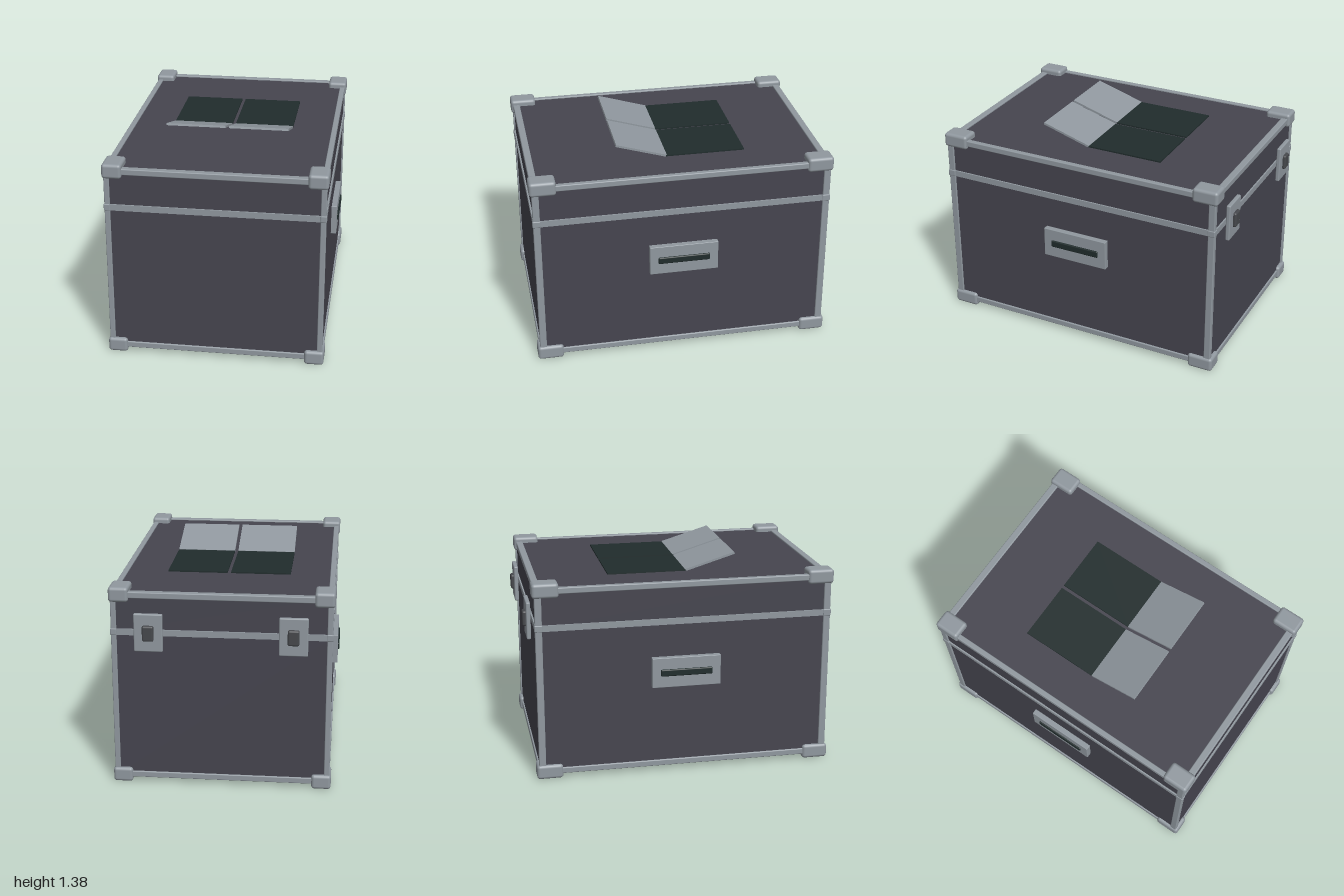
import * as THREE from 'three';
import { RoundedBoxGeometry } from 'three/addons/geometries/RoundedBoxGeometry.js';

const material = (name, color) => {
  const m = new THREE.MeshStandardMaterial({ color });
  m.name = name;
  return m;
};

export function createModel() {
  const shell = material('charcoal shell', 0x46454f);
  const metal = material('grey metal', 0x90989f);
  const dark = material('dark green black', 0x202c2c);
  const button = material('latch grey', 0x46484c);

  const model = new THREE.Group();
  model.name = 'flightCase';

  // Box with optional rounded edges, placed by its centre
  const box = (parent, name, mat, size, pos, radius = 0) => {
    const geo = radius
      ? new RoundedBoxGeometry(...size, 3, radius)
      : new THREE.BoxGeometry(...size);
    const mesh = new THREE.Mesh(geo, mat);
    mesh.name = name;
    mesh.position.set(...pos);
    parent.add(mesh);
    return mesh;
  };

  // Case centred on its own depth; the latches stick out at the back
  const body = new THREE.Group();
  body.name = 'case';
  body.position.z = 0.0225;
  model.add(body);

  const X = 0.69, Z = 0.9625, Y0 = 0.03, Y1 = 1.28; // outer edges of the trim
  const midY = (Y0 + Y1) / 2, H = Y1 - Y0;
  const tx = 0.035, ty = 0.04, tz = 0.045; // trim thickness
  const inset = 0.01;

  // Lower shell and lid
  const w = 2 * (X - inset), d = 2 * (Z - inset);
  box(body, 'lowerShell', shell, [w, 1.02 - Y0 - inset, d], [0, (1.02 + Y0 + inset) / 2, 0]);
  box(body, 'lid', shell, [w, Y1 - inset - 1.02, d], [0, (Y1 - inset + 1.02) / 2, 0]);

  // Edge trim along all twelve edges
  for (const a of [-1, 1]) {
    for (const b of [-1, 1]) {
      const x = a * (X - tx / 2), z = b * (Z - tz / 2);
      const y = midY + b * (H / 2 - ty / 2);
      box(body, 'uprightTrim', metal, [tx, H, tz], [x, midY, z], 0.006);
      box(body, 'sideTrim', metal, [tx, ty, 2 * Z], [x, y, 0], 0.006);
      box(body, 'crossTrim', metal, [2 * X, ty, tz], [0, y, a * (Z - tz / 2)], 0.006);

      // Small clip where the lid seam meets each upright
      box(body, 'seamClip', metal, [0.04, 0.044, 0.052],
        [a * (X + 0.004 - 0.02), 1.02, b * (Z + 0.004 - 0.026)], 0.006);

      // Rounded corner protectors, bottom and top
      for (const cy of [0.0475, 1.2625]) {
        box(body, 'cornerProtector', metal, [0.125, 0.095, 0.17],
          [a * (0.7 - 0.0625), cy, b * (0.9775 - 0.085)], 0.02);
      }
    }
    // Seam band between shell and lid
    box(body, 'sideSeamBand', metal, [0.03, 0.04, 2 * Z], [a * (X - 0.015), 1.02, 0]);
    box(body, 'endSeamBand', metal, [2 * X, 0.04, 0.03], [0, 1.02, a * (Z - 0.015)]);
  }

  for (const s of [-1, 1]) {
    // Side handle
    const handle = new THREE.Group();
    handle.name = s > 0 ? 'leftHandle' : 'rightHandle';
    handle.position.set(s * 0.7, 0.685, 0.025);
    model.add(handle);
    box(handle, 'handlePlate', metal, [0.04, 0.2, 0.45], [-s * 0.004, 0, 0], 0.004);
    box(handle, 'handleGrip', dark, [0.03, 0.046, 0.34], [s * 0.011, 0, 0], 0.008);

    // Back latch
    const latch = new THREE.Group();
    latch.name = s > 0 ? 'leftLatch' : 'rightLatch';
    latch.position.set(s * 0.45, 1.03, -0.965);
    model.add(latch);
    box(latch, 'latchPlate', metal, [0.18, 0.245, 0.028], [0, 0, 0], 0.008);
    box(latch, 'latchButton', button, [0.072, 0.1, 0.04], [0, 0, -0.015], 0.012);

    // Dark panel set on the lid
    const px = s * 0.205 - 0.002;
    box(model, 'lidPanel', dark, [0.387, 0.02, 0.52], [px, 1.269, -0.175]);

    // Raised flap hinged at the front edge of the panel
    const hinge = new THREE.Group();
    hinge.name = 'flapHinge';
    hinge.position.set(px, 1.274, 0.08);
    hinge.rotation.x = -0.295;
    model.add(hinge);
    box(hinge, 'flap', metal, [0.387, 0.014, 0.345], [0, 0, 0.1725]);
  }
  return model;
}
